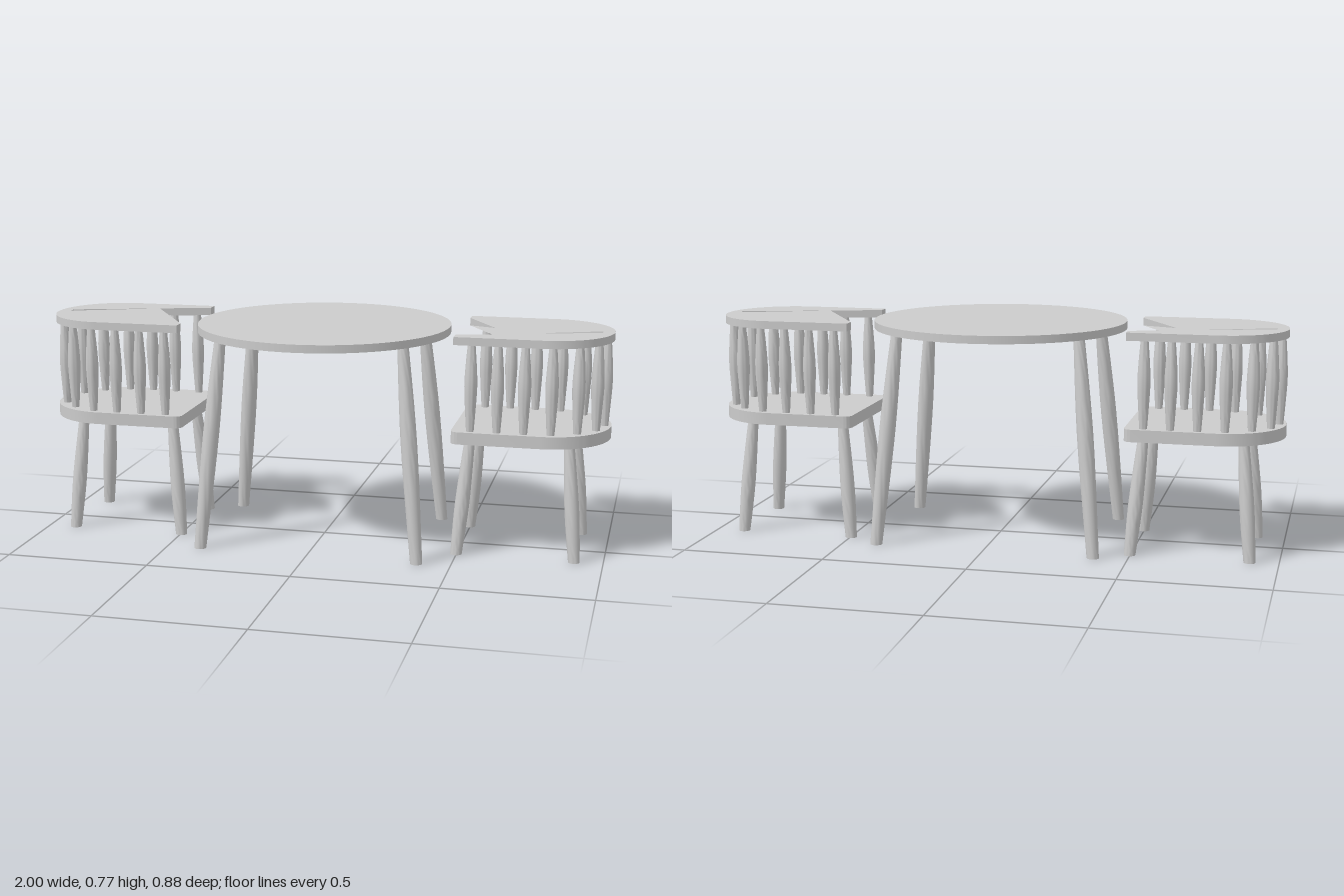
import * as THREE from 'three';
import { toCreasedNormals } from 'three/addons/utils/BufferGeometryUtils.js';

const material = new THREE.MeshStandardMaterial({ color: 0xcccccc });
const thin = new THREE.MeshStandardMaterial({ color: 0xcccccc, side: THREE.DoubleSide });

function add(parent, name, geometry, mat = material) {
  const mesh = new THREE.Mesh(geometry, mat);
  mesh.name = name;
  parent.add(mesh);
}

// Turned post from foot [x, z] to head [x, z]; its ends stay horizontal
function post(foot, head, y0, y1, radii) {
  const h = y1 - y0;
  const curve = new THREE.SplineCurve(radii.map(([t, r]) => new THREE.Vector2(r, t * h)));
  const profile = [new THREE.Vector2(0, 0), ...curve.getPoints(12), new THREE.Vector2(0, h)];
  const g = new THREE.LatheGeometry(profile, 20);
  const p = g.attributes.position;
  for (let i = 0; i < p.count; i++) {
    const t = p.getY(i) / h;
    p.setXYZ(i,
      p.getX(i) + THREE.MathUtils.lerp(foot[0], head[0], t),
      p.getY(i) + y0,
      p.getZ(i) + THREE.MathUtils.lerp(foot[1], head[1], t));
  }
  return toCreasedNormals(g, 0.7);
}

// Flat board from a plan outline (x, z), between two heights
function board(shape, bottom, top) {
  const g = new THREE.ExtrudeGeometry(shape, { depth: top - bottom, bevelEnabled: false, curveSegments: 32 });
  g.rotateX(Math.PI / 2).translate(0, top, 0);
  return toCreasedNormals(g, 0.5);
}

const legRadii = [[0, 0.02], [0.45, 0.025], [1, 0.018]];
const tableLegRadii = [[0, 0.021], [0.55, 0.028], [1, 0.019]];
const spindleRadii = [[0, 0.013], [0.25, 0.018], [0.52, 0.022], [0.75, 0.019], [1, 0.013]];

function createTable() {
  const table = new THREE.Group();
  table.name = 'table';
  add(table, 'tableTop', new THREE.CylinderGeometry(0.442, 0.442, 0.027, 64).translate(0, 0.7545, 0));
  for (const sx of [-1, 1]) for (const sz of [-1, 1]) {
    add(table, 'tableLeg', post([sx * 0.383, sz * 0.27], [sx * 0.317, sz * 0.208], 0, 0.742, tableLegRadii));
  }
  return table;
}

function createChair() {
  const chair = new THREE.Group();
  chair.name = 'chair';

  // Seat with a round back and softened front corners
  const seat = new THREE.Shape();
  seat.moveTo(0.505, -0.22);
  seat.lineTo(0.78, -0.22);
  seat.absarc(0.78, 0, 0.22, -Math.PI / 2, Math.PI / 2);
  seat.lineTo(0.505, 0.22);
  seat.quadraticCurveTo(0.476, 0.22, 0.476, 0.19);
  seat.lineTo(0.476, -0.19);
  seat.quadraticCurveTo(0.476, -0.22, 0.505, -0.22);
  add(chair, 'seat', board(seat, 0.402, 0.444));

  // Wraparound top rail with a V-shaped inner edge
  const rail = new THREE.Shape();
  rail.moveTo(0.482, -0.22);
  rail.lineTo(0.78, -0.22);
  rail.absarc(0.78, 0, 0.22, -Math.PI / 2, Math.PI / 2);
  rail.lineTo(0.482, 0.22);
  rail.lineTo(0.482, 0.175);
  rail.lineTo(0.96, 0.025);
  rail.lineTo(0.96, -0.005);
  rail.lineTo(0.482, -0.175);
  rail.closePath();
  add(chair, 'topRail', board(rail, 0.741, 0.768));

  // Thin web across the rail, on its upper and lower faces
  const web = new THREE.Shape([[0.96, -0.005], [0.66, 0.119], [0.482, -0.175]].map(c => new THREE.Vector2(...c)));
  for (const y of [0.741, 0.768]) {
    add(chair, 'railWeb', new THREE.ShapeGeometry(web).rotateX(Math.PI / 2).translate(0, y, 0), thin);
  }

  // Spindles around the sides and back
  const spots = [[0.54, 0.192], [0.63, 0.194], [0.72, 0.194], [0.81, 0.188], [0.895, 0.147], [0.953, 0.083], [0.976, 0]];
  for (const [x, z] of spots) {
    for (const s of z ? [-1, 1] : [1]) {
      add(chair, 'spindle', post([x, s * z], [x, s * z], 0.443, 0.742, spindleRadii));
    }
  }

  // Splayed legs
  for (const [foot, head] of [[0.498, 0.533], [0.902, 0.869]]) for (const s of [-1, 1]) {
    add(chair, 'chairLeg', post([foot, s * 0.167], [head, s * 0.133], 0, 0.404, legRadii));
  }
  return chair;
}

export function createModel() {
  const model = new THREE.Group();
  model.name = 'tableAndChairs';
  model.add(createTable());
  // Two chairs facing each other across the table
  for (const turn of [0, Math.PI]) {
    const chair = createChair();
    chair.rotation.y = turn;
    chair.position.z = -0.035;
    model.add(chair);
  }
  return model;
}
